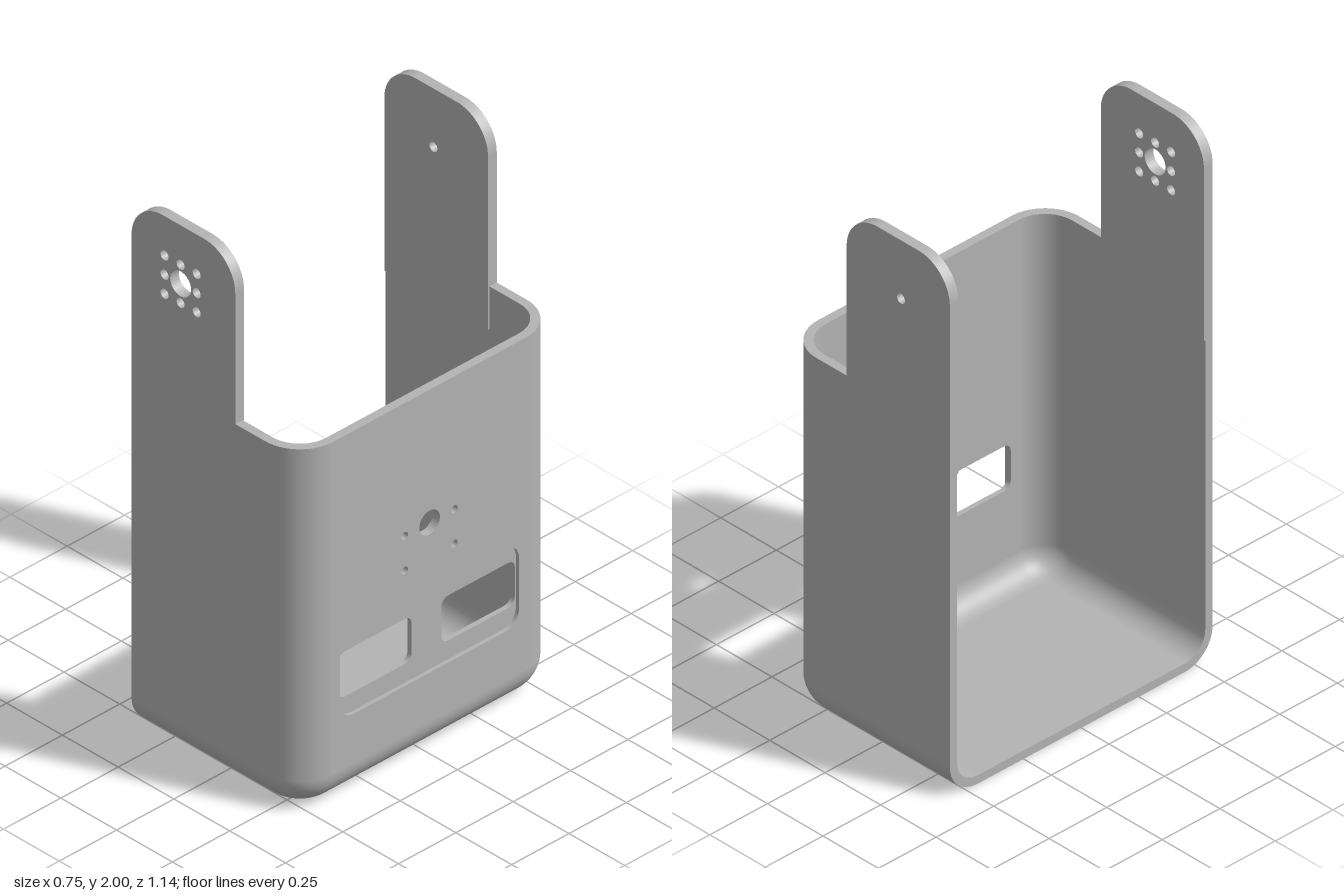
import * as THREE from 'three';

const X = 0.375, Z = 0.57, RIM = 1.37, WALL = 0.032;
const CORNER = 0.15, FILLET = 0.12;          // vertical corner and bottom edge radii
const CX = X - CORNER, CZ = Z - CORNER;      // corner centres
const TAB = 0.038, TAB_X = 0.09, TAB_TOP = 2, PAD_Y = 1.21;
const SEG = 14;

// Grid of {p, n} points to a surface; skip(i, j) leaves a cell open
function sheet(rows, flip = false, skip = () => false, normal = null) {
  const pos = [], nor = [], idx = [], w = rows[0].length;
  rows.forEach(row => row.forEach(v => {
    pos.push(...v.p);
    nor.push(...(normal || v.n.map(c => (flip ? -c : c))));
  }));
  for (let i = 0; i < rows.length - 1; i++) {
    for (let j = 0; j < w - 1; j++) {
      if (skip(i, j)) continue;
      const a = i * w + j, b = a + 1, c = a + w, d = c + 1;
      if (flip) idx.push(a, b, c, b, d, c);
      else idx.push(a, c, b, b, c, d);
    }
  }
  const g = new THREE.BufferGeometry();
  g.setAttribute('position', new THREE.Float32BufferAttribute(pos, 3));
  g.setAttribute('normal', new THREE.Float32BufferAttribute(nor, 3));
  g.setIndex(idx);
  return g;
}

// Rows of U-shaped sections: floor centre line, bottom fillet, rim
function shellRows(offset) {
  const r = FILLET - offset, base = CORNER - FILLET;
  const section = (phi, y, flat) => {
    const rad = base + r * Math.cos(phi), out = [];
    const add = (x, z, t) => out.push({
      p: [x, y, flat ? 0 : z],
      n: [Math.cos(t) * Math.cos(phi), -Math.sin(phi), Math.sin(t) * Math.cos(phi)],
    });
    add(-X, -CZ - rad, -Math.PI / 2);
    for (const s of [-1, 1]) {
      for (let k = 0; k <= SEG; k++) {
        const t = (k / SEG + (s < 0 ? -1 : 0)) * Math.PI / 2;
        add(CX + rad * Math.cos(t), s * CZ + rad * Math.sin(t), t);
      }
    }
    add(-X, CZ + rad, Math.PI / 2);
    return out;
  };
  const rows = [section(Math.PI / 2, offset, true)];
  for (let k = 0; k <= SEG; k++) {
    const phi = (1 - k / SEG) * Math.PI / 2;
    rows.push(section(phi, FILLET - r * Math.sin(phi)));
  }
  rows.push(section(0, RIM));
  return rows;
}

function circle(x, y, r) {
  return new THREE.Path().absarc(x, y, r, 0, Math.PI * 2, true);
}

function roundRect(x0, y0, x1, y1, r) {
  const h = Math.PI / 2;
  const s = new THREE.Path();
  s.absarc(x1 - r, y0 + r, r, -h, 0);
  s.absarc(x1 - r, y1 - r, r, 0, h);
  s.absarc(x0 + r, y1 - r, r, h, 2 * h);
  s.absarc(x0 + r, y0 + r, r, 2 * h, 3 * h);
  s.closePath();
  return s;
}

function plate(shape, holes, depth) {
  shape.holes.push(...holes);
  return new THREE.ExtrudeGeometry(shape, { depth, bevelEnabled: false, curveSegments: 16 });
}

// One layer of the flat perforated wall, facing +x
function panelLayer(holes, depth, x) {
  const s = new THREE.Shape();
  s.moveTo(-CZ, FILLET).lineTo(CZ, FILLET).lineTo(CZ, RIM).lineTo(-CZ, RIM).closePath();
  return plate(s, holes, depth).rotateY(Math.PI / 2).translate(x, 0, 0);
}

// Upright tab with rounded top corners
function tabGeometry(holes) {
  const r = 0.14, s = new THREE.Shape();
  s.moveTo(-X, RIM).lineTo(TAB_X, RIM).lineTo(TAB_X, TAB_TOP - r);
  s.absarc(TAB_X - r, TAB_TOP - r, r, 0, Math.PI / 2);
  s.absarc(-X + r, TAB_TOP - r, r, Math.PI / 2, Math.PI);
  s.closePath();
  return plate(s, holes, TAB);
}

export function createModel() {
  const model = new THREE.Group();
  model.name = 'bracketHousing';
  const grey = new THREE.MeshStandardMaterial({ color: 0xb4b4b4 });
  grey.name = 'grey';
  const add = (name, geometry) => {
    const m = new THREE.Mesh(geometry, grey);
    m.name = name;
    model.add(m);
    return m;
  };

  // Shell skins, open where the perforated wall goes
  const outer = shellRows(0), inner = shellRows(WALL);
  const last = outer.length - 1, end = outer[0].length - 1, mid = SEG + 1;
  const gap = (i, j) => i === last - 1 && j === mid;
  add('outerShell', sheet(outer, false, gap));
  add('innerShell', sheet(inner, true, gap));

  // Rim and open-side edges
  add('topRim', sheet([outer[last], inner[last]], false, (i, j) => j === mid, [0, 1, 0]));
  const column = (rows, j) => rows.map(row => row[j]);
  add('rearOpenEdge', sheet([column(outer, 0), column(inner, 0)], false, undefined, [-1, 0, 0]));
  add('frontOpenEdge', sheet([column(inner, end), column(outer, end)], false, undefined, [-1, 0, 0]));

  // Perforated wall: outer layer has the shallow recess, inner layer the two windows
  const recess = 0.014;
  const smallHoles = () => {
    const list = [circle(0, 0.87, 0.045)];
    for (const u of [-0.108, 0.108]) for (const y of [0.74, 0.87]) list.push(circle(u, y, 0.014));
    return list;
  };
  add('wallOuterLayer', panelLayer(
    [...smallHoles(), roundRect(-0.39, 0.305, 0.39, 0.615, 0.06)], recess, X - recess));
  add('wallInnerLayer', panelLayer([
    ...smallHoles(),
    roundRect(-0.385, 0.375, -0.065, 0.545, 0.03),
    roundRect(0.065, 0.375, 0.385, 0.545, 0.03),
  ], WALL - recess, X - WALL));

  // Tabs: the front one has a ring of holes, the rear one a single pivot hole
  const hx = -0.155, hy = 1.78, pitch = 0.072;
  const ring = [circle(hx, hy, 0.047)];
  for (const i of [-1, 0, 1]) {
    for (const j of [-1, 0, 1]) {
      if (i || j) ring.push(circle(hx + i * pitch, hy + j * pitch, 0.018));
    }
  }
  add('frontTab', tabGeometry(ring)).position.z = Z - TAB;
  add('rearTab', tabGeometry([circle(hx, hy, 0.018)])).position.z = -Z;

  // Thickening pads below the tabs, inside the shell
  for (const [name, s] of [['frontTabPad', 1], ['rearTabPad', -1]]) {
    const pad = add(name, new THREE.BoxGeometry(TAB_X + X, RIM - PAD_Y, TAB - WALL));
    pad.position.set((TAB_X - X) / 2, (RIM + PAD_Y) / 2, s * (Z - (TAB + WALL) / 2));
  }
  return model;
}
